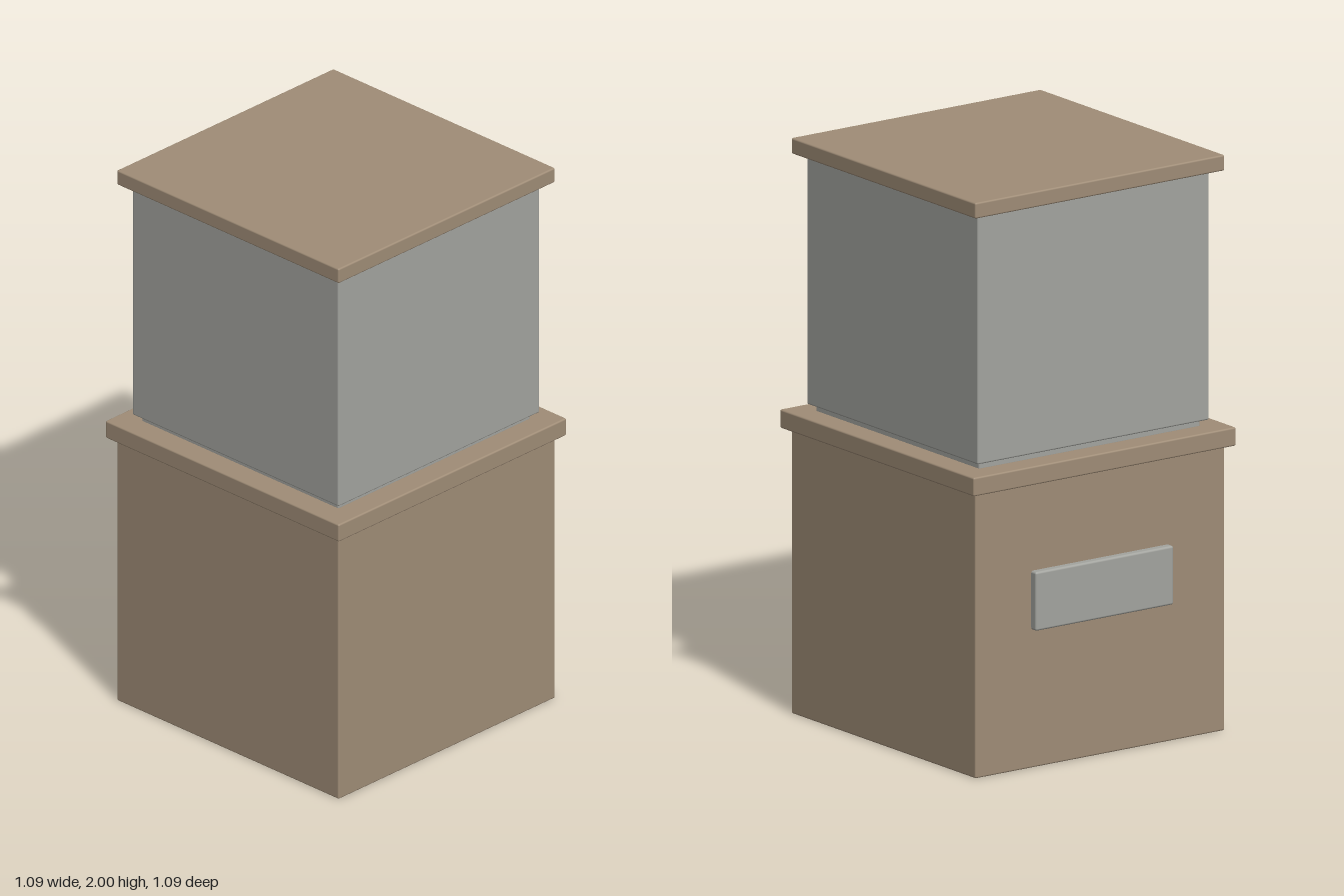
import * as THREE from 'three';
import { RoundedBoxGeometry } from 'three/addons/geometries/RoundedBoxGeometry.js';

export function createModel() {
  const group = new THREE.Group();
  const brown = new THREE.MeshStandardMaterial({ color: 0xa08d77 });
  brown.name = 'warm brown';
  const grey = new THREE.MeshStandardMaterial({ color: 0xa3a49f });
  grey.name = 'light grey';

  // Softened box standing between two heights
  function addBox(name, material, width, depth, bottom, top, z = 0, radius = 0.006) {
    const geometry = new RoundedBoxGeometry(width, top - bottom, depth, 2, radius);
    const mesh = new THREE.Mesh(geometry, material);
    mesh.name = name;
    mesh.position.set(0, (bottom + top) / 2, z);
    group.add(mesh);
  }

  // Lower box with its overhanging lid
  addBox('lowerBox', brown, 1.04, 1.04, 0, 0.992);
  addBox('lowerLid', brown, 1.094, 1.094, 0.99, 1.055);

  // Upper box on a recessed foot, with its lid
  addBox('upperFoot', grey, 0.922, 0.922, 1.05, 1.085);
  addBox('upperBox', grey, 0.966, 0.966, 1.077, 1.947);
  addBox('upperLid', brown, 1.04, 1.04, 1.945, 2);

  // Plate on the back of the lower box
  addBox('backPlate', grey, 0.575, 0.04, 0.48, 0.685, -0.527, 0.008);

  return group;
}
